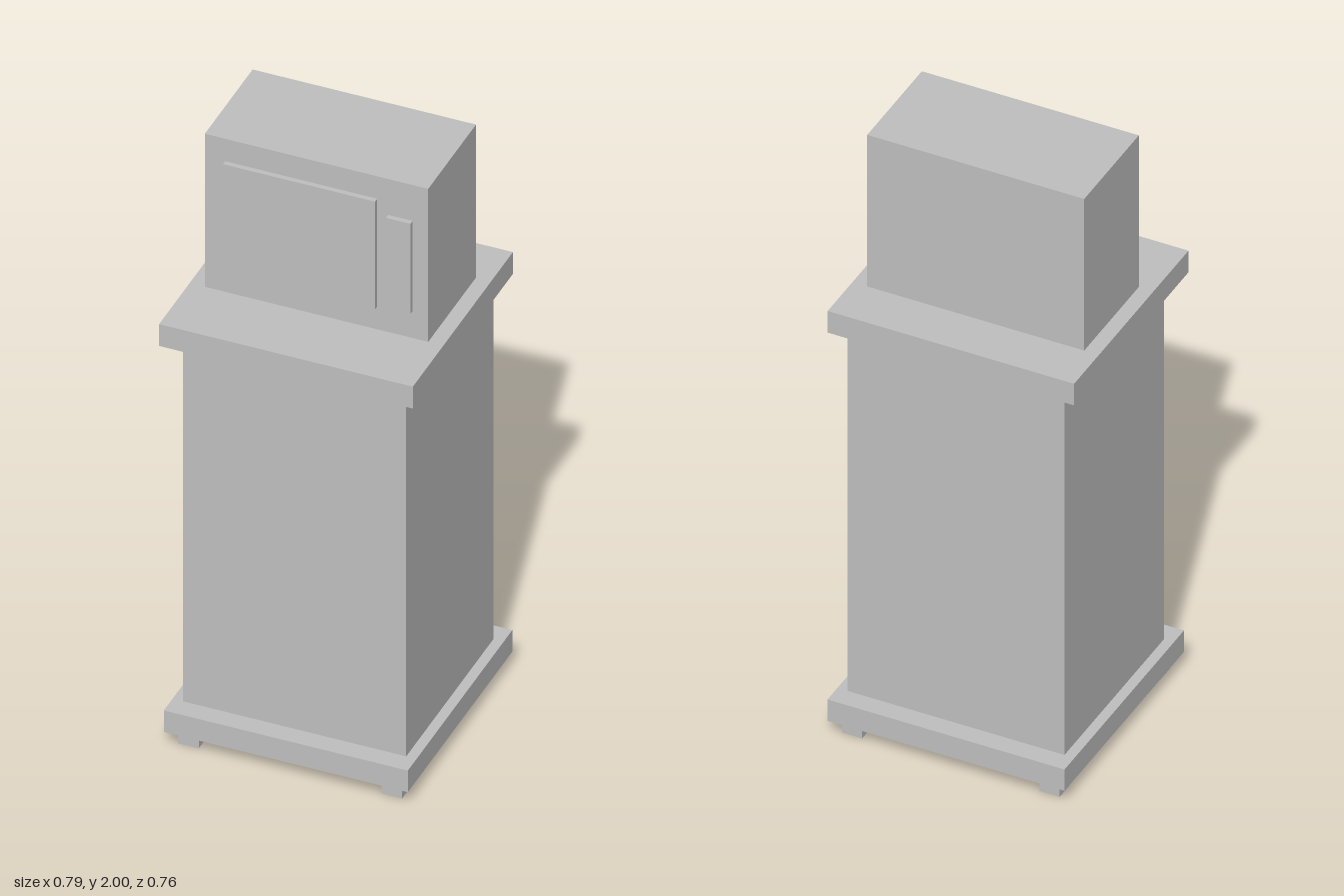
import * as THREE from 'three';

export function createModel() {
  const group = new THREE.Group();
  const grey = new THREE.MeshStandardMaterial({ color: 0xc0c0c0 });
  grey.name = 'light grey';

  // Box given by its lower and upper limits on each axis
  const box = (name, [x0, x1], [y0, y1], [z0, z1]) => {
    const mesh = new THREE.Mesh(new THREE.BoxGeometry(x1 - x0, y1 - y0, z1 - z0), grey);
    mesh.position.set((x0 + x1) / 2, (y0 + y1) / 2, (z0 + z1) / 2);
    mesh.name = name;
    group.add(mesh);
  };

  // Four small feet under the base
  for (const x of [-0.316, 0.314]) {
    for (const z of [-0.315, 0.315]) {
      box('foot', [x - 0.032, x + 0.032], [0, 0.051], [z - 0.032, z + 0.032]);
    }
  }

  // Cabinet: base slab, body and overhanging counter
  box('base', [-0.379, 0.377], [0.051, 0.126], [-0.378, 0.378]);
  box('cabinetBody', [-0.347, 0.345], [0.126, 1.391], [-0.315, 0.315]);
  box('counterTop', [-0.394, 0.392], [1.391, 1.467], [-0.347, 0.377]);

  // Microwave oven: case, raised door and control panel
  box('ovenCase', [-0.347, 0.345], [1.467, 2], [-0.19, 0.156]);
  box('ovenDoor', [-0.284, 0.187], [1.546, 1.922], [0.156, 0.172]);
  box('controlPanel', [0.221, 0.297], [1.562, 1.875], [0.156, 0.172]);

  return group;
}
